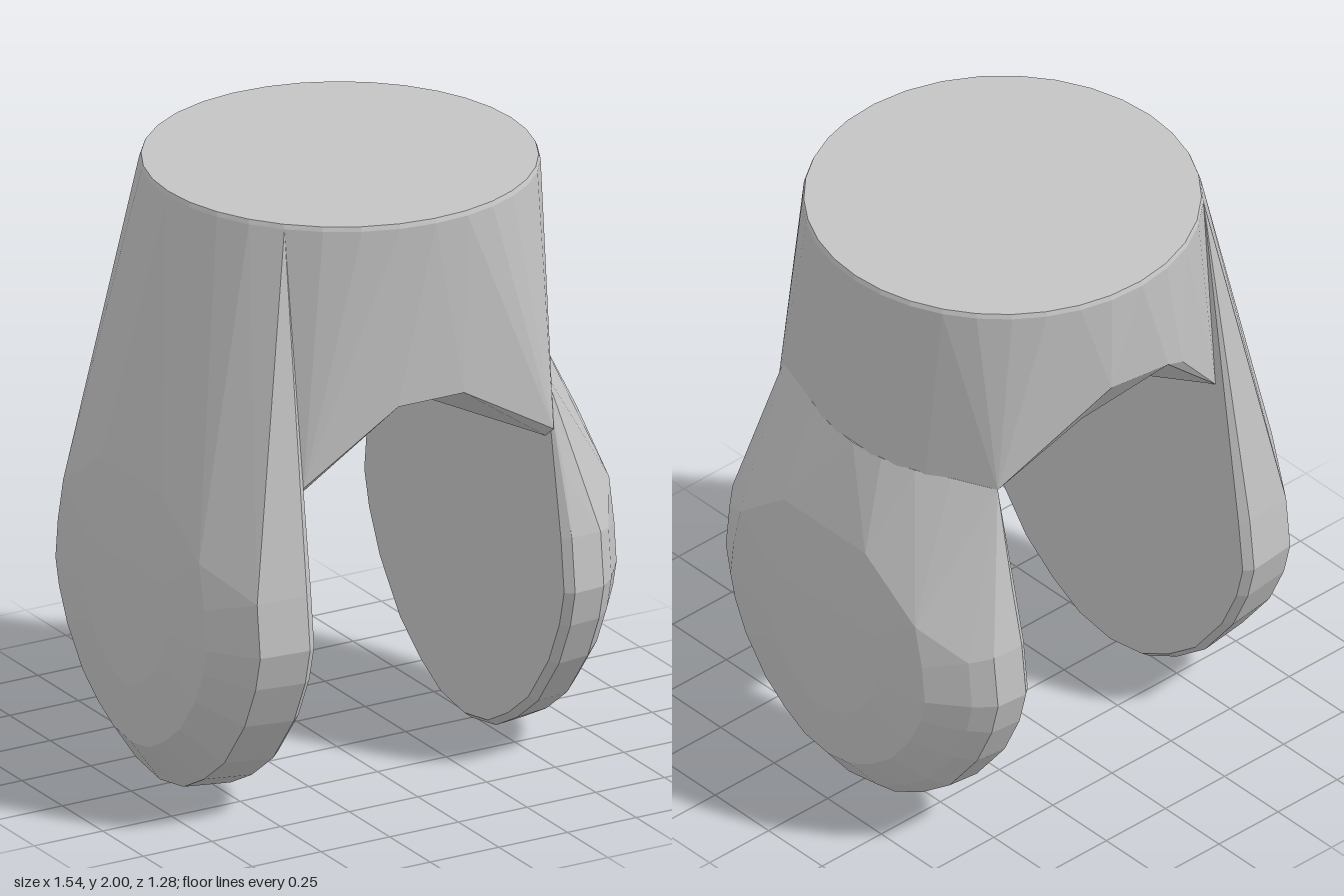
import * as THREE from 'three';
import { ConvexGeometry } from 'three/addons/geometries/ConvexGeometry.js';

const V = (x, y, z) => new THREE.Vector3(x, y, z);
const R = 0.63, CX = 0.01;

// Both rim arcs of the barrel between two x positions, at height y
function arcs(x0, x1, y, r = R) {
  const angle = (x) => Math.acos(THREE.MathUtils.clamp((x - CX) / r, -1, 1));
  const a0 = angle(x0), a1 = angle(x1), pts = [];
  const n = Math.max(2, Math.ceil(Math.abs(a1 - a0) / 0.2));
  for (let i = 0; i <= n; i++) {
    const a = a0 + ((a1 - a0) * i) / n;
    const x = CX + r * Math.cos(a), z = r * Math.sin(a);
    pts.push(V(x, y, z), V(x, y, -z));
  }
  return pts;
}

// Top rim with its tiny bevel
const rim = (x0, x1) => [...arcs(x0, x1, 2, R - 0.006), ...arcs(x0, x1, 1.985)];

// Rounded cheek: half outline (z, y) repeated in rings (x, scale) from inner face to outer face
const OUTLINE = [[0, 0.005], [0.15, 0.03], [0.28, 0.1], [0.41, 0.2], [0.54, 0.37],
  [0.61, 0.52], [0.64, 0.64], [0.62, 0.82], [0.575, 1.02]];
const LEFT_RINGS = [[0.463, 0.965], [0.49, 1], [0.6, 0.985], [0.66, 0.9], [0.75, 0.71], [0.77, 0.4]];
const RIGHT_RINGS = [[0.447, 0.965], [0.475, 1], [0.645, 0.97], [0.75, 0.73], [0.77, 0.4]];

function cheek(side, rings) {
  const pts = [];
  for (const [x, s] of rings) {
    for (const [z, y] of OUTLINE) {
      // The outer rim fades out above the widest point
      if (y > 1 && x > 0.55 && s > 0.8) continue;
      const yy = 0.62 + (y - 0.62) * s;
      pts.push(V(side * x, yy, z * s), V(side * x, yy, -z * s));
    }
  }
  // Outer shoulder
  for (const z of [-0.18, 0.2]) pts.push(V(side * 0.755, 1.07, z));
  return pts;
}

export function createModel() {
  const group = new THREE.Group();
  const grey = new THREE.MeshStandardMaterial({ color: 0xc4c4c4, flatShading: true });
  const add = (name, pts) => {
    const mesh = new THREE.Mesh(new ConvexGeometry(pts), grey);
    mesh.name = name;
    group.add(mesh);
  };

  // Crown of the arch along the two seams of the barrel
  const leftSeam = [V(0.11, 1.38, 0.6), V(0.11, 1.23, 0.05), V(0.11, 1.44, -0.48), V(0.11, 1.64, -0.62)];
  const rightSeam = [V(-0.13, 1.38, 0.6), V(-0.13, 1.23, 0.1), V(-0.13, 1.61, -0.62)];
  add('barrelMiddle', [...rim(-0.13, 0.11), ...leftSeam, ...rightSeam]);

  // Left side of the barrel, sloping down to the short cheek
  add('barrelLeft', [...rim(0.11, 0.64), ...arcs(0.47, 0.64, 1.345, 0.635), ...leftSeam,
    V(0.465, 1.17, 0.55), V(0.465, 1.13, 0.5), V(0.465, 1.34, -0.48)]);

  // Right side of the barrel, sloping down to the tall cheek
  add('barrelRight', [...rim(-0.447, -0.13), ...rightSeam, V(-0.2, 1.58, -0.61),
    V(-0.447, 1.15, 0.55), V(-0.447, 1.1, 0.5), V(-0.447, 1.3, -0.49)]);

  // Short cheek, ending at the barrel wall
  add('leftCheek', [...cheek(1, LEFT_RINGS), ...arcs(0.465, 0.645, 1.35, 0.635),
    V(0.465, 1.34, 0.5), V(0.465, 1.34, -0.48)]);

  // Tall cheek, running up into the barrel's top rim
  add('rightCheek', [...cheek(-1, RIGHT_RINGS), ...rim(-0.62, -0.447)]);

  return group;
}
